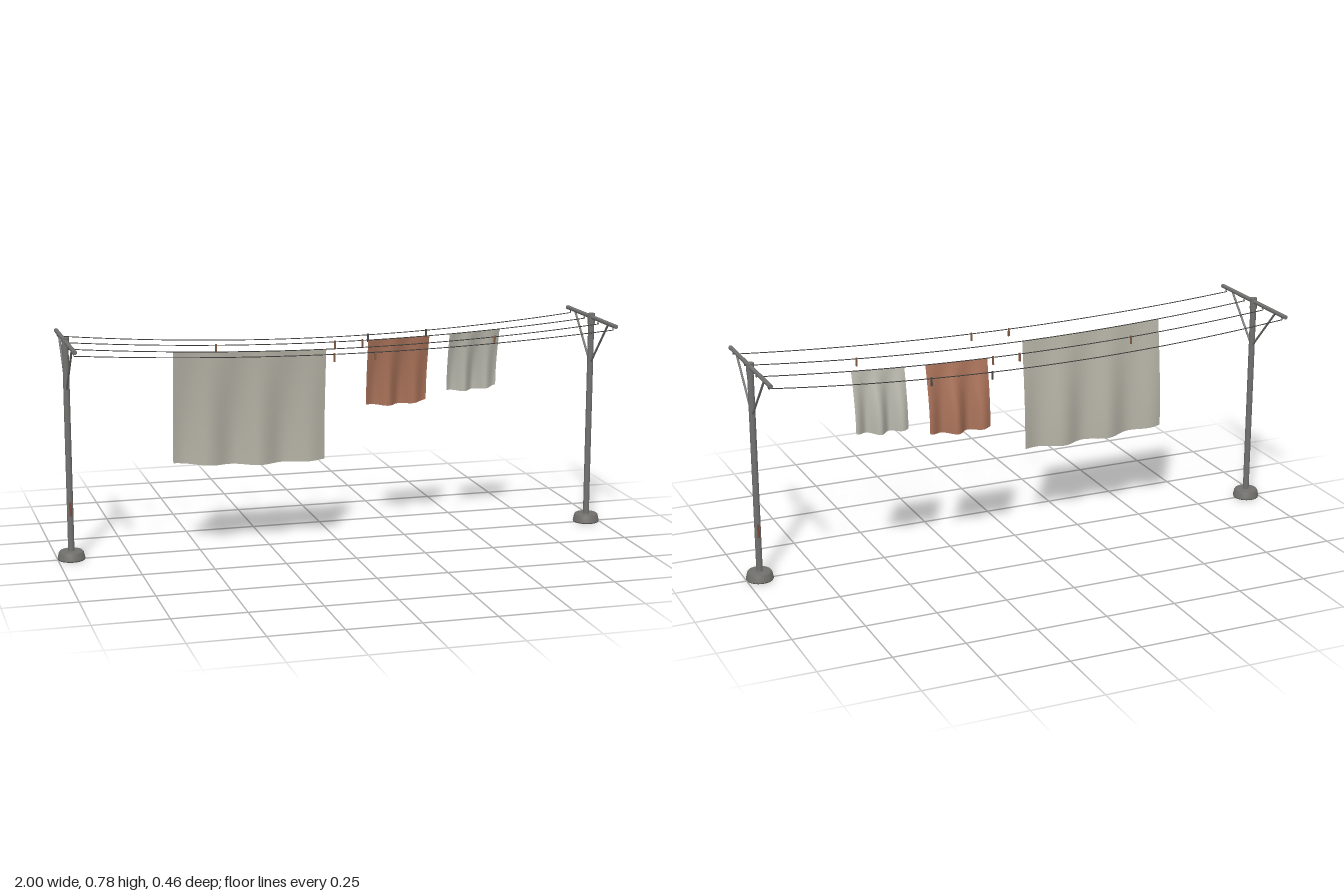
import * as THREE from 'three';

const mat = (name, color, side = THREE.FrontSide) => {
  const m = new THREE.MeshStandardMaterial({ color, side });
  m.name = name;
  return m;
};

const POST_X = 0.953, ARM_Y = 0.764, END_Y = 0.748;
const lines = [
  { z: 0.2, sag: 0.037, pegs: [-0.065, 0.08] },
  { z: 0.066, sag: 0.043, pegs: [0.56] },
  { z: -0.066, sag: 0.043, pegs: [-0.42, 0.01, 0.11] },
  { z: -0.2, sag: 0.049, pegs: [0.17, 0.39], dark: true },
];
const lineY = (x, sag) => END_Y - sag * (1 - (x / POST_X) ** 2);

export function createModel() {
  const metal = mat('grey metal', 0x717170);
  const baseMetal = mat('base metal', 0x706f6b, THREE.DoubleSide);
  const rust = mat('rust', 0x7a4a38, THREE.DoubleSide);
  const cord = mat('dark cord', 0x3e3e3c);
  const wood = mat('peg wood', 0x805a42);
  const darkPeg = mat('dark peg', 0x4c4a46);
  const linen = mat('pale linen', 0xb4b2a5, THREE.DoubleSide);
  const paleTowel = mat('pale towel', 0xb8b7ac, THREE.DoubleSide);
  const brown = mat('brown cloth', 0xa97259, THREE.DoubleSide);

  const root = new THREE.Group();
  root.name = 'clothesLine';
  const add = (parent, name, geo, material, x = 0, y = 0, z = 0) => {
    const m = new THREE.Mesh(geo, material);
    m.name = name;
    m.position.set(x, y, z);
    parent.add(m);
    return m;
  };
  const rod = (parent, name, a, b, r, material) => {
    const d = b.clone().sub(a);
    const m = add(parent, name, new THREE.CylinderGeometry(r, r, d.length(), 12), material);
    m.position.copy(a).addScaledVector(d, 0.5);
    m.quaternion.setFromUnitVectors(new THREE.Vector3(0, 1, 0), d.normalize());
  };
  const v = (x, y, z) => new THREE.Vector3(x, y, z);

  // T-shaped posts at both ends
  for (const s of [-1, 1]) {
    const post = new THREE.Group();
    post.name = s > 0 ? 'leftPost' : 'rightPost';
    post.position.x = s * POST_X;
    root.add(post);
    add(post, 'pole', new THREE.CylinderGeometry(0.011, 0.011, 0.765, 20), [metal, metal, rust], 0, 0.3875);
    add(post, 'collar', new THREE.CylinderGeometry(0.013, 0.013, 0.04, 20), metal, 0, 0.757);

    // hollow weighted foot, open underneath, with a dark rim
    const lathe = pts => new THREE.LatheGeometry(pts.map(p => new THREE.Vector2(...p)), 28);
    add(post, 'foot', lathe([[0.048, 0.004], [0.043, 0.026], [0.039, 0.031], [0.011, 0.031]]), baseMetal);
    add(post, 'footRim', lathe([[0.042, 0], [0.046, 0], [0.048, 0.004]]), baseMetal);

    // thin rust patch low on the pole
    const patch = new THREE.CylinderGeometry(0.0113, 0.0113, 0.05, 8, 1, true, s > 0 ? Math.PI - 0.4 : -0.4, 0.8);
    add(post, 'rustPatch', patch, rust, 0, 0.18);

    rod(post, 'crossArm', v(0, ARM_Y, -0.228), v(0, ARM_Y, 0.228), 0.0075, metal);
    for (const k of [-1, 1]) {
      rod(post, 'brace', v(0, 0.597, k * 0.004), v(0, 0.759, k * 0.154), 0.0038, metal);
    }
    // eyelets that hold the cords
    for (const { z } of lines) {
      const eye = add(post, 'eyelet', new THREE.TorusGeometry(0.004, 0.001, 6, 12), cord, 0, 0.752, z);
      eye.rotation.y = Math.PI / 2;
    }
  }

  // Sagging cords with spare pegs
  for (const { z, sag, pegs, dark } of lines) {
    const pts = [];
    for (let i = 0; i <= 16; i++) {
      const x = POST_X * (i / 8 - 1);
      pts.push(v(x, lineY(x, sag), z));
    }
    add(root, 'cord', new THREE.TubeGeometry(new THREE.CatmullRomCurve3(pts), 64, 0.0016, 6), cord);
    for (const x of pegs) {
      const y = lineY(x, sag);
      for (const k of [-1, 1]) {
        const half = add(root, 'peg', new THREE.BoxGeometry(0.006, 0.03, 0.002),
          dark ? darkPeg : wood, x, y - 0.011, z + k * 0.0013);
        half.rotation.x = k * -0.04;
      }
    }
  }

  // Hanging cloth: billows towards -z, with folds that deepen to the hem
  const cloth = (name, x0, x1, z, drop, peak, period, lean, fold, taper, material) => {
    const geo = new THREE.PlaneGeometry(1, 1, 56, 24);
    const p = geo.attributes.position;
    for (let i = 0; i < p.count; i++) {
      const u = p.getX(i) * 2, t = 0.5 - p.getY(i);
      const x = x0 + (x1 - x0) * (u + 1) / 2;
      const wave = Math.cos((x - peak) / period * Math.PI * 2) * (1 - taper * u * u);
      const out = Math.sin(t * Math.PI / 2) * (lean + fold * wave);
      const hem = drop - 0.008 * u * u;
      p.setXYZ(i, x, lineY(x, 0.043) + 0.001 - hem * t, z - out);
    }
    geo.computeVertexNormals();
    add(root, name, geo, material);
  };
  cloth('sheet', -0.597, -0.058, 0.066, 0.405, -0.385, 0.182, 0.026, 0.017, 0.4, linen);
  cloth('brownTowel', 0.132, 0.36, -0.066, 0.248, 0.26, 0.1, 0.028, 0.018, 0.5, brown);
  cloth('smallTowel', 0.436, 0.626, -0.066, 0.22, 0.54, 0.085, 0.028, 0.018, 0.5, paleTowel);

  return root;
}
